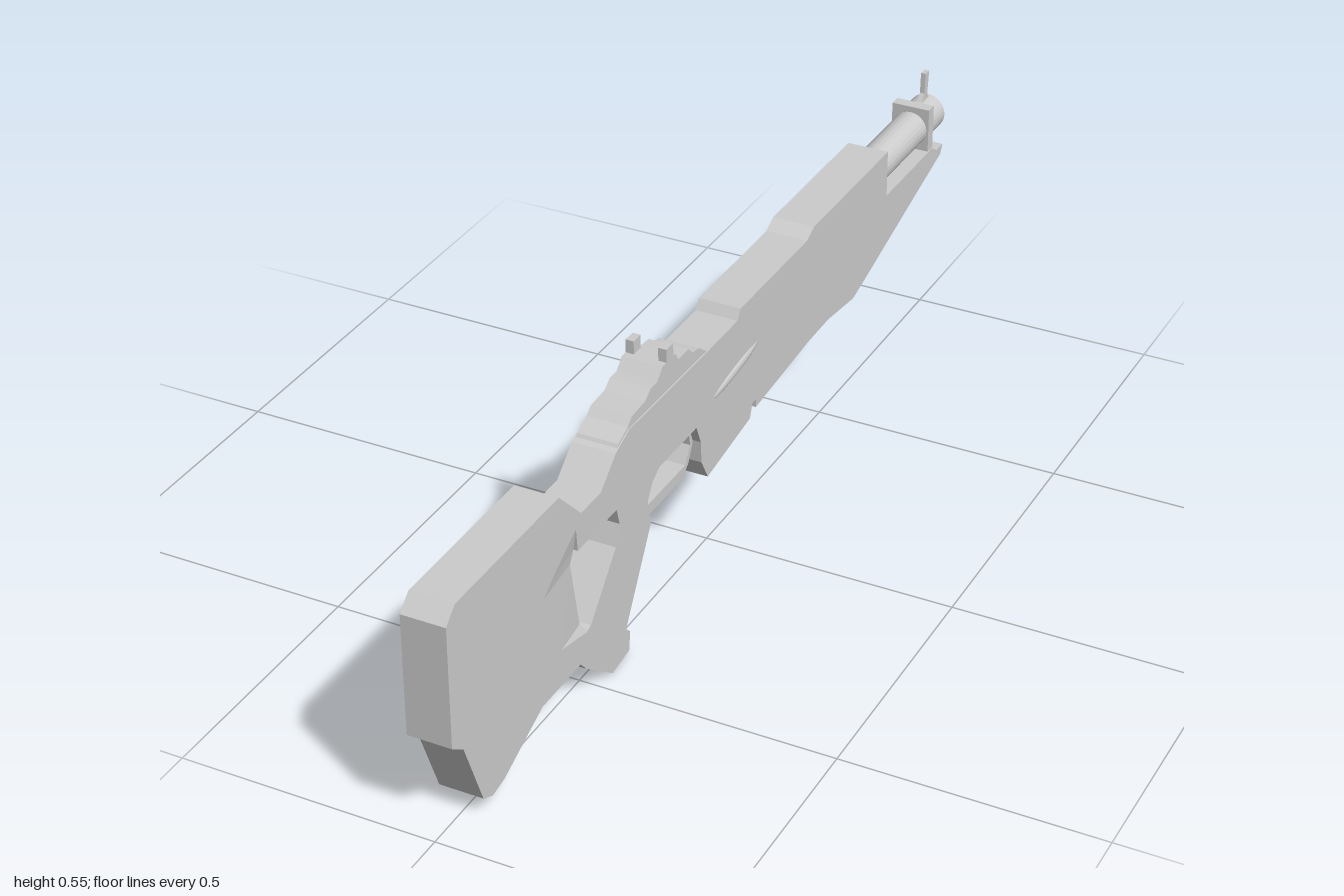
import * as THREE from 'three';

const material = new THREE.MeshStandardMaterial({ color: 0xcccccc, flatShading: true });
const smooth = new THREE.MeshStandardMaterial({ color: 0xcccccc });
const HALF = 0.0425;

const toVectors = (points) => points.map(([z, y]) => new THREE.Vector2(z, y));

// Side outline given as [z, y], extruded symmetrically across x
function slab(name, points, halfWidth, holes = []) {
  const shape = new THREE.Shape(toVectors(points));
  holes.forEach((hole) => shape.holes.push(new THREE.Path(toVectors(hole))));
  const geometry = new THREE.ExtrudeGeometry(shape, { depth: halfWidth * 2, bevelEnabled: false });
  geometry.translate(0, 0, -halfWidth).rotateY(-Math.PI / 2);
  const mesh = new THREE.Mesh(geometry, material);
  mesh.name = name;
  return mesh;
}

function box(name, w, h, d, x, y, z) {
  const mesh = new THREE.Mesh(new THREE.BoxGeometry(w, h, d), material);
  mesh.position.set(x, y, z);
  mesh.name = name;
  return mesh;
}

// Tapered cheek behind the thumb hole: rows of [y, rear z, front z, front half width]
function thumbRecess(rows) {
  const positions = [];
  const index = [];
  rows.forEach(([y, rear, front, w]) => {
    positions.push(HALF, y, rear, w, y, front, -w, y, front, -HALF, y, rear);
  });
  for (let r = 0; r < rows.length - 1; r++) {
    for (let i = 0; i < 3; i++) {
      const a = r * 4 + i;
      index.push(a, a + 1, a + 4, a + 1, a + 5, a + 4);
    }
  }
  const geometry = new THREE.BufferGeometry();
  geometry.setAttribute('position', new THREE.Float32BufferAttribute(positions, 3));
  geometry.setIndex(index);
  geometry.computeVertexNormals();
  const recessMaterial = material.clone();
  recessMaterial.side = THREE.DoubleSide;
  const mesh = new THREE.Mesh(geometry, recessMaterial);
  mesh.name = 'thumbRecess';
  return mesh;
}

export function createModel() {
  const model = new THREE.Group();
  model.name = 'rifle';

  // Stock, grip, receiver and fore-end in one outline
  const outline = [
    [1, 0.45], [0.97, 0.478], [0.63, 0.478], [0.555, 0.403], [0.485, 0.403],
    [0.43, 0.45], [0.38, 0.47], [0.08, 0.466], [-0.04, 0.466], [-0.053, 0.485],
    [-0.335, 0.485], [-0.365, 0.5], [-0.705, 0.5], [-0.705, 0.403], [-0.93, 0.403],
    [-0.955, 0.388], [-0.985, 0.388], [-0.975, 0.37], [-0.62, 0.265], [-0.555, 0.247],
    [-0.44, 0.26], [-0.35, 0.258], [-0.12, 0.238], [-0.12, 0.255], [-0.105, 0.255],
    [-0.095, 0.227], [0.08, 0.2], [0.105, 0.245], [0.108, 0.29], [0.125, 0.33],
    [0.27, 0.33], [0.295, 0.315], [0.315, 0.285], [0.305, 0.23], [0.402, 0.065],
    [0.387, 0.05], [0.392, 0.012], [0.455, 0.003], [0.55, 0.075], [0.57, 0.097],
    [0.705, 0.097], [0.84, 0.037], [0.88, 0.03], [0.91, 0.045], [0.965, 0.185], [1, 0.21],
  ];
  const thumbHole = [
    [0.57, 0.335], [0.43, 0.335], [0.42, 0.3], [0.435, 0.26], [0.53, 0.155], [0.545, 0.15],
    [0.635, 0.17], [0.69, 0.31], [0.655, 0.335], [0.575, 0.385],
  ];
  model.add(slab('body', outline, HALF, [thumbHole]));
  model.add(thumbRecess([
    [0.385, 0.575, 0.57, HALF], [0.335, 0.655, 0.57, 0.034], [0.31, 0.69, 0.58, 0.032],
    [0.17, 0.635, 0.555, 0.034], [0.15, 0.545, 0.54, HALF],
  ]));

  // Stepped receiver cover
  model.add(slab('receiverCover', [
    [0.43, 0.44], [0.415, 0.46], [0.38, 0.475], [0.365, 0.488], [0.315, 0.491],
    [0.295, 0.505], [0.27, 0.505], [0.25, 0.525], [0.2, 0.525], [0.19, 0.508],
    [0.15, 0.507], [0.135, 0.492], [0.11, 0.488], [0.08, 0.466], [0.08, 0.44],
  ], 0.04));

  // Rear sight
  for (const side of [-1, 1]) {
    model.add(box('rearSightEar', 0.016, 0.028, 0.026, side * 0.032, 0.537, 0.222));
    // Raised swell on each flank
    const swell = new THREE.Mesh(new THREE.SphereGeometry(1, 20, 10), smooth);
    swell.scale.set(0.007, 0.011, 0.1);
    swell.position.set(side * 0.04, 0.365, -0.035);
    swell.rotation.x = 0.12;
    swell.name = 'sideSwell';
    model.add(swell);
  }

  // Trigger and its guard
  model.add(slab('trigger', [
    [0.265, 0.34], [0.245, 0.34], [0.247, 0.31], [0.232, 0.277], [0.248, 0.275], [0.261, 0.305],
  ], 0.008));
  model.add(slab('triggerGuard', [
    [0.32, 0.23], [0.15, 0.23], [0.125, 0.25], [0.1, 0.3], [0.1, 0.33], [0.125, 0.325],
    [0.118, 0.285], [0.138, 0.253], [0.295, 0.253], [0.32, 0.28],
  ], 0.026));

  // Hollow barrel with a slightly thicker muzzle
  const profile = [
    [0.026, -0.69], [0.036, -0.69], [0.036, -0.935], [0.038, -0.935], [0.038, -1],
    [0.027, -1], [0.026, -0.69],
  ].map(([r, z]) => new THREE.Vector2(r, z));
  const barrelMaterial = material.clone();
  barrelMaterial.side = THREE.DoubleSide;
  const barrel = new THREE.Mesh(new THREE.LatheGeometry(profile, 28).rotateX(Math.PI / 2), barrelMaterial);
  barrel.position.y = 0.447;
  barrel.name = 'barrel';
  model.add(barrel);

  // Square barrel band with a round opening
  const band = new THREE.Shape(toVectors([[-0.04, 0.395], [0.04, 0.395], [0.04, 0.495], [-0.04, 0.495]]));
  band.holes.push(new THREE.Path().absarc(0, 0.447, 0.034, 0, Math.PI * 2, true));
  const bandMesh = new THREE.Mesh(
    new THREE.ExtrudeGeometry(band, { depth: 0.024, bevelEnabled: false, curveSegments: 20 }), material);
  bandMesh.position.z = -0.937;
  bandMesh.name = 'barrelBand';
  model.add(bandMesh);

  // Front sight
  model.add(slab('frontSight', [
    [-0.955, 0.48], [-0.99, 0.48], [-0.985, 0.5], [-0.99, 0.543], [-0.972, 0.543], [-0.97, 0.5],
  ], 0.005));
  return model;
}
